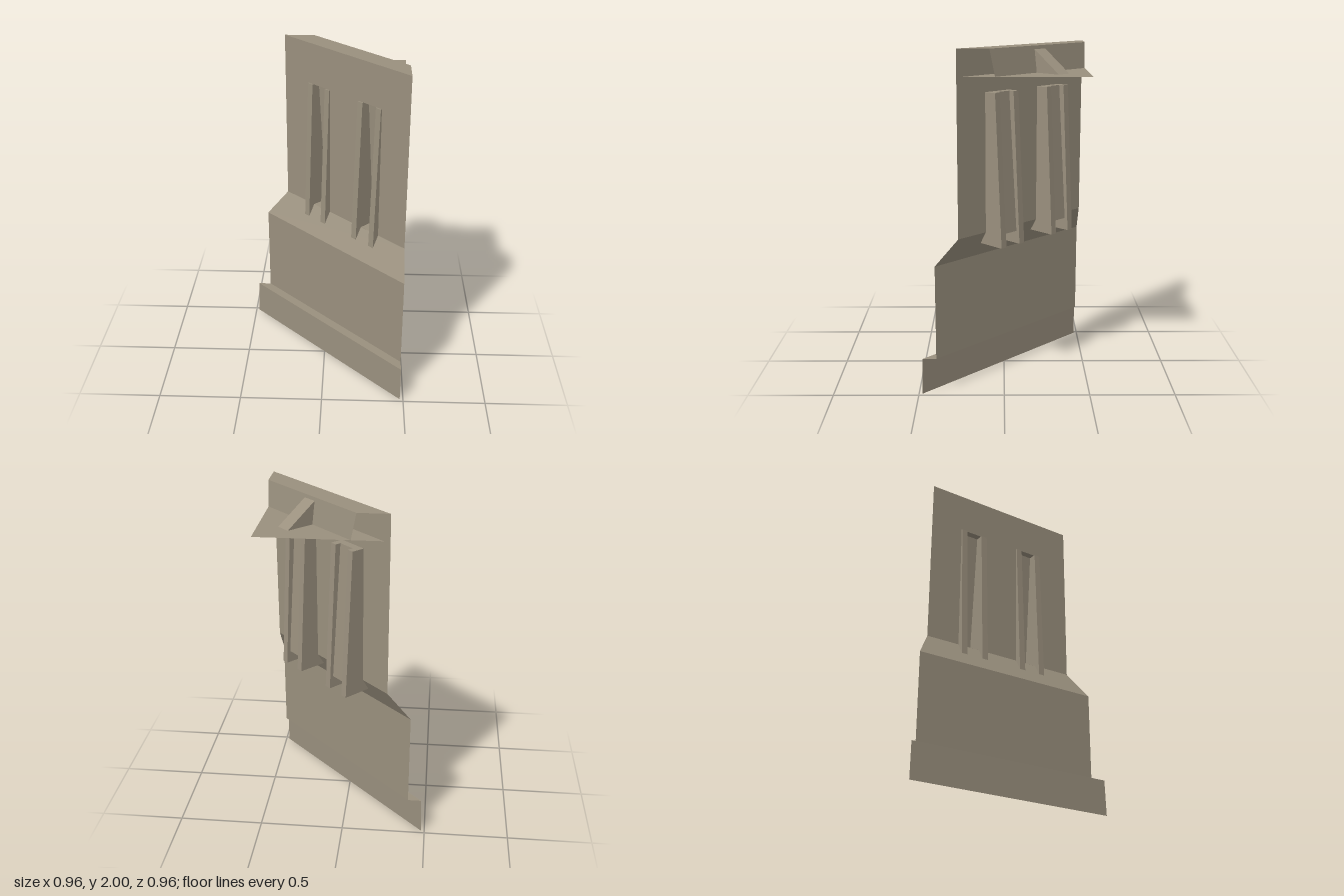
import * as THREE from 'three';

const stone = new THREE.MeshStandardMaterial({ color: 0x9a907e, side: THREE.DoubleSide });
stone.name = 'stone';

// Local frame: x runs along the wall, y is up, u is the distance inward (-z).
const CORNER = 0.679;
const halfAt = (u) => CORNER - u; // the wall is cut by two planes meeting at the corner

function add(parent, name, geometry) {
  const mesh = new THREE.Mesh(geometry, stone);
  mesh.name = name;
  parent.add(mesh);
  return mesh;
}

// Quad strip through [u, y, left, right] rows
function strip(rows) {
  const pos = [];
  for (let i = 0; i + 1 < rows.length; i++) {
    const [u0, y0, l0, r0] = rows[i];
    const [u1, y1, l1, r1] = rows[i + 1];
    const a = [l0, y0, -u0], b = [r0, y0, -u0], c = [r1, y1, -u1], d = [l1, y1, -u1];
    pos.push(...a, ...b, ...c, ...a, ...c, ...d);
  }
  const g = new THREE.BufferGeometry();
  g.setAttribute('position', new THREE.Float32BufferAttribute(pos, 3));
  g.computeVertexNormals();
  return g;
}

const fullWidth = (profile) => strip(profile.map(([u, y]) => [u, y, -halfAt(u), halfAt(u)]));

// Slab with a side profile in (u, y), centred on x
function slab(profile, width) {
  const shape = new THREE.Shape(profile.map(([u, y]) => new THREE.Vector2(u, y)));
  const g = new THREE.ExtrudeGeometry(shape, { depth: width, bevelEnabled: false });
  return g.translate(0, 0, -width / 2).rotateY(Math.PI / 2);
}

const rect = (Type, x0, y0, x1, y1) => new Type([
  new THREE.Vector2(x0, y0), new THREE.Vector2(x1, y0),
  new THREE.Vector2(x1, y1), new THREE.Vector2(x0, y1),
]);

export function createModel() {
  const model = new THREE.Group();
  model.name = 'towerCorner';
  const wall = new THREE.Group();
  wall.name = 'diagonalWall';
  wall.rotation.y = -Math.PI / 4;
  model.add(wall);

  const wallU = 0.156, sillY = 0.94, headY = 1.75;
  const bay = 0.213, finOffset = 0.0735, finWidth = 0.04;
  const gap = finOffset - finWidth / 2;

  // Plinth, lower wall and sloped shoulder
  add(wall, 'plinth', fullWidth([[0, 0], [0.004, 0.22], [0.06, 0.22]]));
  add(wall, 'lowerWall', fullWidth([[0.06, 0.22], [0.06, 0.78]]));
  add(wall, 'shoulder', fullWidth([[0.06, 0.78], [wallU, sillY]]));

  // Upper wall with two tall openings
  const h = halfAt(wallU);
  const face = rect(THREE.Shape, -h, sillY, h, 2);
  for (const s of [-1, 1]) {
    face.holes.push(rect(THREE.Path, s * bay - gap, sillY + 0.0005, s * bay + gap, headY));
  }
  add(wall, 'upperWall', new THREE.ShapeGeometry(face).translate(0, 0, -wallU));

  // Parapet: flat top and leaning inner face
  add(wall, 'parapet', fullWidth([[wallU, 2], [0.283, 2], [0.304, 1.85]]));

  // Triangular roof deck
  const ru = 0.18, rh = halfAt(ru);
  const deck = new THREE.Shape([
    new THREE.Vector2(-rh, ru), new THREE.Vector2(rh, ru), new THREE.Vector2(0, CORNER),
  ]);
  add(wall, 'roofDeck', new THREE.ShapeGeometry(deck).rotateX(-Math.PI / 2).translate(0, 1.85, 0));

  // Sloping block behind the parapet
  add(wall, 'roofWedge', slab([[0.286, 1.85], [0.47, 1.85], [0.286, 1.98]], 0.088));

  // Window bays: leaning recessed panel between two tapered fins
  for (const s of [-1, 1]) {
    const x = s * bay;
    const recess = [[wallU, sillY], [0.26, sillY], [0.2, headY], [wallU, headY]];
    add(wall, 'windowRecess', strip(recess.map(([u, y]) => [u, y, x - gap, x + gap])));
    for (const side of [-1, 1]) {
      const fin = slab([[0.113, 0.867], [0.285, 0.867], [0.234, headY], [0.148, headY]], finWidth);
      add(wall, 'windowFin', fin).position.x = x + side * finOffset;
    }
  }
  return model;
}
